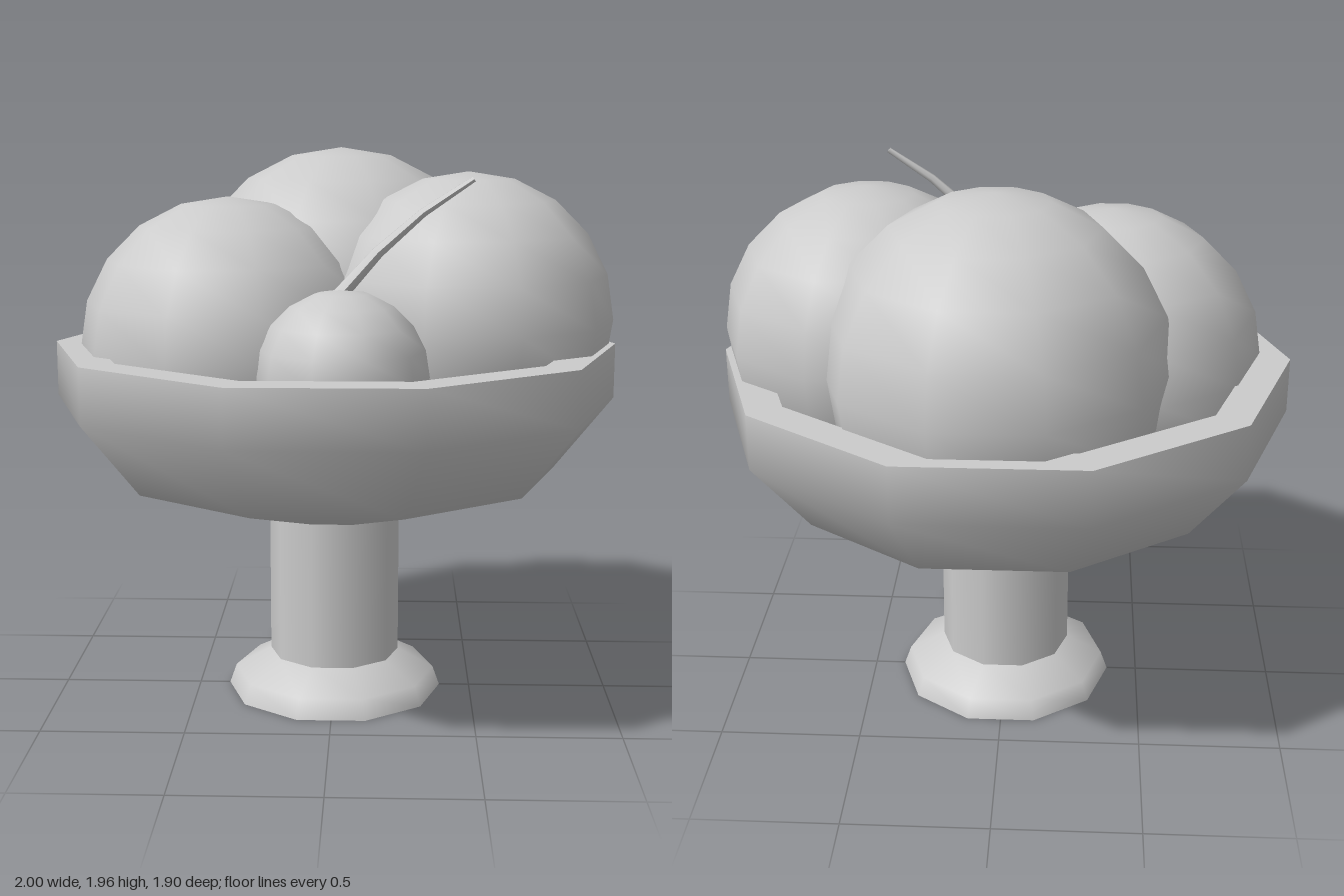
import * as THREE from 'three';

const SIDES = 10;
const material = new THREE.MeshStandardMaterial({ color: 0xcccccc });

function addMesh(group, name, geometry) {
  const mesh = new THREE.Mesh(geometry, material);
  mesh.name = name;
  group.add(mesh);
  return mesh;
}

// Ten-sided turned part with a corner on the x axis
function turned(profile) {
  const points = profile.map(([r, y]) => new THREE.Vector2(r, y));
  return new THREE.LatheGeometry(points, SIDES, Math.PI / 2);
}

// Tube whose radius shrinks evenly from its first ring to its last
function taperedTube(curve, segments, sides, r0, r1) {
  const geometry = new THREE.TubeGeometry(curve, segments, r0, sides, false);
  const pos = geometry.attributes.position;
  const v = new THREE.Vector3();
  for (let i = 0; i < pos.count; i++) {
    const t = Math.floor(i / (sides + 1)) / segments;
    const centre = curve.getPointAt(t);
    v.fromBufferAttribute(pos, i).sub(centre);
    v.multiplyScalar(1 + (r1 / r0 - 1) * t).add(centre);
    pos.setXYZ(i, v.x, v.y, v.z);
  }
  geometry.computeVertexNormals();
  return geometry;
}

export function createModel() {
  const model = new THREE.Group();
  model.name = 'fruitBowl';

  // Pedestal
  addMesh(model, 'footUnderside', turned([[0, 0], [0.39, 0]]));
  addMesh(model, 'foot', turned([[0.39, 0], [0.365, 0.07], [0.235, 0.14]]));
  addMesh(model, 'column', turned([[0.235, 0.14], [0.235, 0.67]]));

  // Bowl: outer wall, flat rim and inner wall
  addMesh(model, 'bowlOutside', turned([[0.235, 0.67], [0.79, 0.83], [1, 1.09], [1, 1.285]]));
  addMesh(model, 'bowlRim', turned([[1, 1.285], [0.87, 1.285]]));
  addMesh(model, 'bowlInside', turned([[0.87, 1.285], [0.87, 1.13], [0.69, 0.92], [0, 0.76]]));

  // Fruit: name, radius, centre
  const fruit = [
    ['backFruit', 0.59, 0.015, 1.375, -0.345],
    ['rightFruit', 0.53, -0.37, 1.275, 0.06],
    ['leftFruit', 0.52, 0.47, 1.37, 0],
    ['smallFruit', 0.285, 0.042, 1.25, 0.535],
  ];
  for (const [name, radius, x, y, z] of fruit) {
    addMesh(model, name, new THREE.SphereGeometry(radius, SIDES, 10)).position.set(x, y, z);
  }

  // Bent, tapering stalk on the small fruit
  const stalk = new THREE.CatmullRomCurve3([
    new THREE.Vector3(0.03, 1.51, 0.525),
    new THREE.Vector3(0.23, 1.725, 0.525),
    new THREE.Vector3(0.46, 1.885, 0.525),
  ]);
  addMesh(model, 'stalk', taperedTube(stalk, 3, 6, 0.027, 0.01));
  const tip = addMesh(model, 'stalkTip', new THREE.CircleGeometry(0.01, 6));
  tip.position.copy(stalk.getPointAt(1));
  tip.lookAt(tip.position.clone().add(stalk.getTangentAt(1)));

  return model;
}
